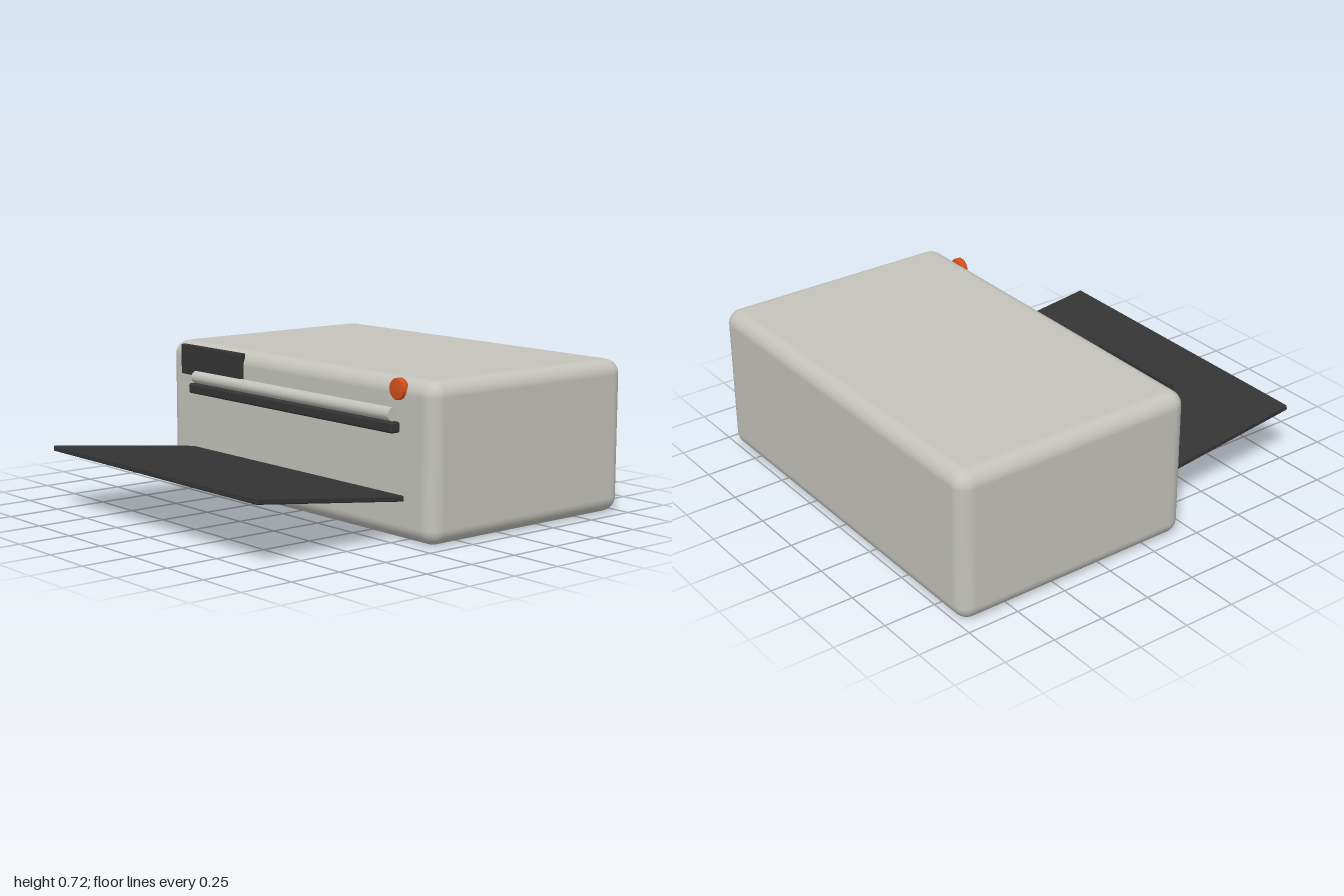
import * as THREE from 'three';
import { RoundedBoxGeometry } from 'three/addons/geometries/RoundedBoxGeometry.js';

export function createModel() {
  const group = new THREE.Group();
  const material = (name, color) => {
    const m = new THREE.MeshStandardMaterial({ color });
    m.name = name;
    return m;
  };
  const shell = material('warm grey', 0xc4c3bc);
  const dark = material('charcoal', 0x343434);
  const orange = material('orange', 0xd4501f);

  const add = (name, geometry, mat, x, y, z) => {
    const mesh = new THREE.Mesh(geometry, mat);
    mesh.name = name;
    mesh.position.set(x, y, z);
    group.add(mesh);
    return mesh;
  };

  // Main housing
  add('housing', new RoundedBoxGeometry(1.91, 0.715, 1.2, 6, 0.07), shell, 0, 0.3625, -0.4);

  // Control panel, upper front
  add('controlPanel', new RoundedBoxGeometry(0.48, 0.145, 0.03, 2, 0.004), dark, -0.6, 0.6375, 0.203);

  // Paper roller resting on its slot lip
  const roller = add('roller', new THREE.CylinderGeometry(0.03, 0.03, 1.44, 24), shell, 0, 0.56, 0.215);
  roller.rotation.z = Math.PI / 2;
  add('slotLip', new RoundedBoxGeometry(1.49, 0.048, 0.07, 3, 0.01), dark, 0, 0.505, 0.21);

  // Output tray, rising toward its front edge
  const tray = add('outputTray', new RoundedBoxGeometry(1.55, 0.026, 0.86, 2, 0.006), dark, 0, 0.241, 0.572);
  tray.rotation.x = -0.12;

  // Round push button with a softened rim
  const profile = [[0, -0.02], [0.042, -0.02], [0.048, -0.013], [0.048, 0.012], [0.042, 0.019], [0, 0.019]]
    .map(([r, y]) => new THREE.Vector2(r, y));
  const button = add('powerButton', new THREE.LatheGeometry(profile, 32), orange, 0.74, 0.672, 0.199);
  button.rotation.x = Math.PI / 2;

  return group;
}
